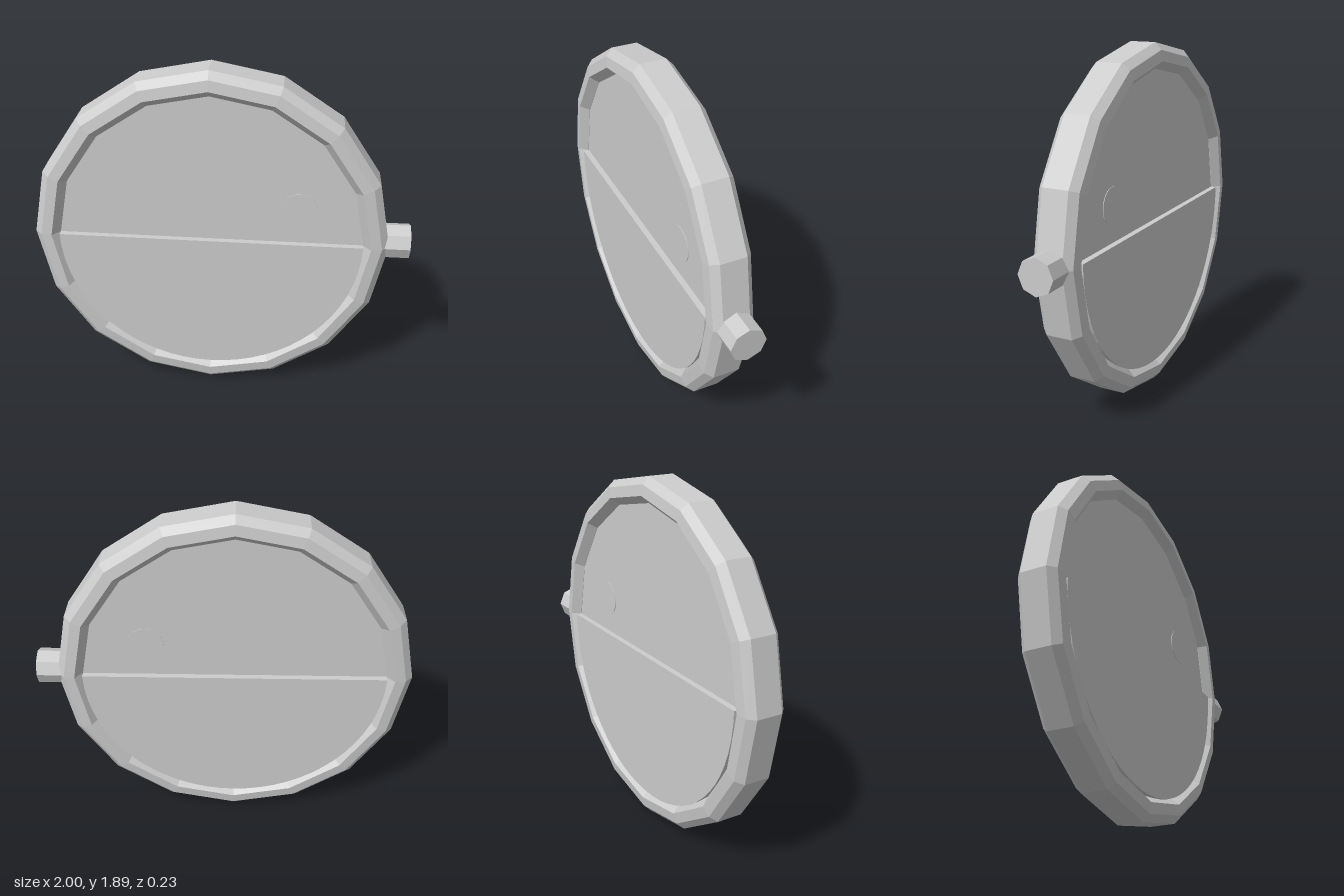
import * as THREE from 'three';

export function createModel() {
  const grey = new THREE.MeshStandardMaterial({ color: 0xcccccc, flatShading: true });
  grey.name = 'light grey';
  const model = new THREE.Group();
  model.name = 'roundDevice';

  const add = (name, geometry, x = 0, y = 0, z = 0) => {
    const mesh = new THREE.Mesh(geometry, grey);
    mesh.name = name;
    mesh.position.set(x, y, z);
    body.add(mesh);
    return mesh;
  };
  // All parts sit around the centre of the ring
  const body = new THREE.Group();
  body.name = 'body';
  body.position.set(-0.055, 0.95, 0);
  model.add(body);

  // Bevelled 16-sided rim, turned to face the front
  const half = [[0.81, 0.07], [0.85, 0.115], [0.907, 0.107], [0.945, 0.07]];
  const profile = [
    ...half.map(([r, z]) => new THREE.Vector2(r, -z)),
    ...half.slice().reverse().map(([r, z]) => new THREE.Vector2(r, z)),
    new THREE.Vector2(0.81, -0.07),
  ];
  add('rim', new THREE.LatheGeometry(profile, 16).rotateX(Math.PI / 2));

  // Recessed full disc
  add('innerDisc', new THREE.CylinderGeometry(0.81, 0.81, 0.136, 16).rotateX(Math.PI / 2));

  // Raised lower half, standing proud of the disc on both faces
  const lower = new THREE.Shape();
  lower.absarc(0, 0, 0.81, Math.PI, Math.PI * 2, false);
  lower.closePath();
  const depth = 0.2;
  add('lowerHalf', new THREE.ExtrudeGeometry(lower, { depth, bevelEnabled: false, curveSegments: 16 }), 0, 0, -depth / 2);

  // Round button, nearly flush with the disc on both faces
  add('button', new THREE.CylinderGeometry(0.096, 0.096, 0.142, 32).rotateX(Math.PI / 2), 0.465, 0.193, 0);

  // Octagonal side knob
  add('sideKnob', new THREE.CylinderGeometry(0.094, 0.094, 0.17, 8).rotateZ(-Math.PI / 2), 0.97, 0, 0);

  return model;
}
